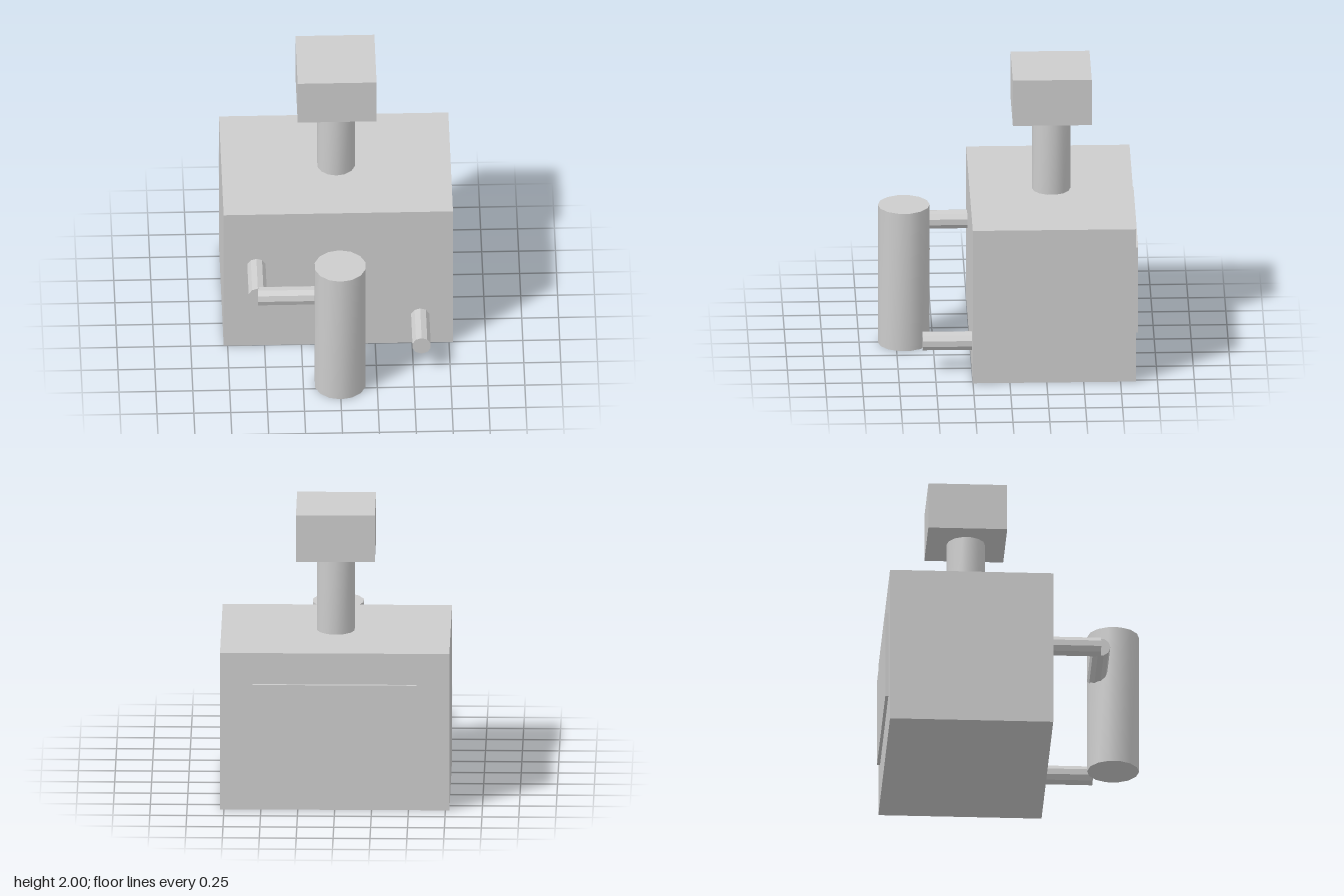
import * as THREE from 'three';
import { toCreasedNormals } from 'three/addons/utils/BufferGeometryUtils.js';

export function createModel() {
  const model = new THREE.Group();
  model.name = 'boiler';
  const grey = new THREE.MeshStandardMaterial({ color: 0xcccccc });
  grey.name = 'plain grey';

  const add = (name, geometry, x, y, z) => {
    const mesh = new THREE.Mesh(geometry, grey);
    mesh.name = name;
    mesh.position.set(x, y, z);
    model.add(mesh);
  };
  const box = (name, w, h, d, x, y, z) => add(name, new THREE.BoxGeometry(w, h, d), x, y, z);
  // Large cylinders stay smooth, ten-sided pipes come out faceted
  const rod = (r, length, sides) =>
    toCreasedNormals(new THREE.CylinderGeometry(r, r, length, sides), Math.PI / 6);

  // Main housing with a raised panel on the back
  box('housing', 1.554, 1.11, 1.107, 0, 0.555, -0.302);
  box('backPanel', 1.11, 0.62, 0.03, 0, 0.58, -0.861);

  // Chimney and its square cap
  add('chimney', rod(0.13, 0.58, 14), 0, 1.39, -0.302);
  box('chimneyCap', 0.535, 0.33, 0.535, 0, 1.835, -0.302);

  // Upright tank in front
  add('tank', rod(0.176, 1, 14), 0, 0.5, 0.697);

  // Elbow pipe from the housing to the tank, and a short outlet
  const pipeR = 0.065;
  add('elbowPipeOut', rod(pipeR, 0.355, 10).rotateX(Math.PI / 2), -0.555, 0.67, 0.408);
  add('elbowPipeAcross', rod(pipeR, 0.555, 10).rotateZ(Math.PI / 2), -0.2775, 0.67, 0.585);
  add('outletPipe', rod(pipeR, 0.355, 10).rotateX(Math.PI / 2), 0.555, 0.224, 0.408);

  return model;
}
